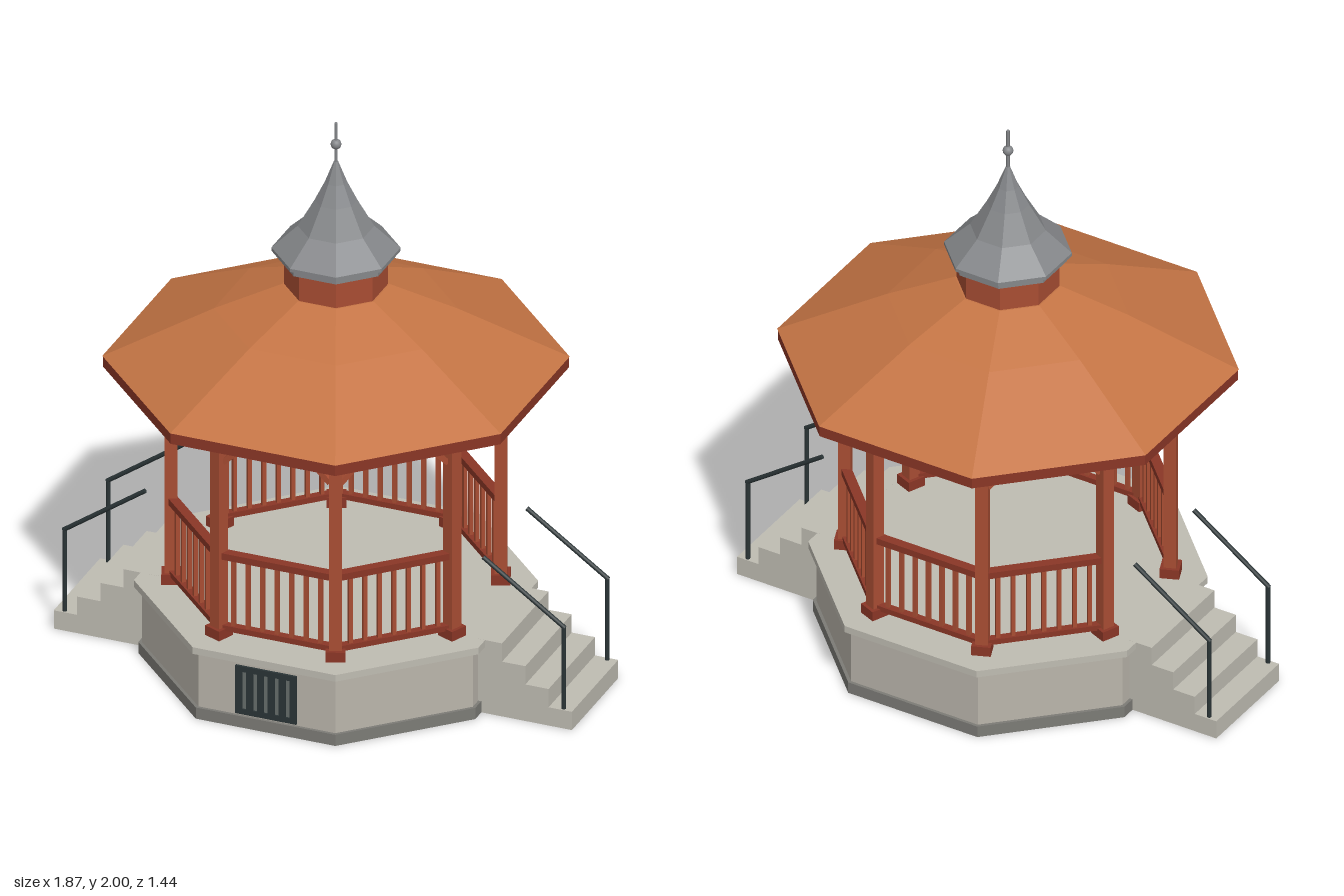
import * as THREE from 'three';

const mat = (name, color) => Object.assign(new THREE.MeshStandardMaterial({ color }), { name });
const M = {
  stone: mat('wall stone', 0xbab5ab),
  step: mat('pale step stone', 0xbfbcb2),
  plinth: mat('dark plinth stone', 0x7c7b76),
  timber: mat('red timber', 0xa84d33),
  darkTimber: mat('dark red timber', 0x8a3626),
  tile: mat('orange roof', 0xc47444),
  zinc: mat('grey spire metal', 0x85878a),
  iron: mat('black iron', 0x2a3436),
  grey: mat('vent grey', 0x666d6b),
  globe: mat('lamp globe', 0xc9b27c),
};

function add(parent, name, geo, material, x = 0, y = 0, z = 0) {
  const m = new THREE.Mesh(geo, material);
  m.name = name;
  m.position.set(x, y, z);
  parent.add(m);
  return m;
}
const box = (w, h, d) => new THREE.BoxGeometry(w, h, d);

// Faceted octagonal solid from [apothem, y] pairs, with flats facing the axes
function octagon(profile) {
  const pts = profile.map(([a, y]) => new THREE.Vector2(a / Math.cos(Math.PI / 8), y));
  const geo = new THREE.LatheGeometry(pts, 8).rotateY(Math.PI / 8).toNonIndexed();
  geo.computeVertexNormals();
  return geo;
}
const prism = (a, y0, y1) => octagon([[0, y0], [a, y0], [a, y1], [0, y1]]);

// Round bar between two points
function bar(parent, name, from, to, r, material) {
  const a = new THREE.Vector3(...from), b = new THREE.Vector3(...to);
  const m = add(parent, name, new THREE.CylinderGeometry(r, r, a.distanceTo(b), 8), material);
  m.position.copy(a).lerp(b, 0.5);
  m.quaternion.setFromUnitVectors(new THREE.Vector3(0, 1, 0), b.sub(a).normalize());
}

// One side of the pavilion: post, beam, braces and optional railing
function bay(withRailing) {
  const g = new THREE.Group(), a = 0.507, half = 0.21;
  g.name = 'bay';
  add(g, 'post', box(0.043, 0.805, 0.043), M.timber, half, 0.6775, a).rotation.y = Math.PI / 8;
  add(g, 'postBase', box(0.066, 0.036, 0.066), M.darkTimber, half, 0.293, a).rotation.y = Math.PI / 8;
  add(g, 'beam', box(0.42, 0.052, 0.035), M.timber, 0, 1.054, a);
  for (const s of [-1, 1])
    add(g, 'brace', box(0.02, 0.135, 0.02), M.timber, s * 0.145, 0.98, a).rotation.z = s * Math.PI / 4;
  if (withRailing) {
    add(g, 'topRail', box(0.41, 0.024, 0.034), M.darkTimber, 0, 0.582, a);
    add(g, 'bottomRail', box(0.41, 0.02, 0.028), M.darkTimber, 0, 0.312, a);
    for (let i = -3; i <= 3; i++)
      add(g, 'baluster', box(0.014, 0.25, 0.014), M.timber, i * 0.0525, 0.446, a);
  }
  return g;
}

// Four steps with iron handrails, descending toward +x
function stairs() {
  const g = new THREE.Group();
  g.name = 'stairs';
  const s = new THREE.Shape();
  s.moveTo(0.56, 0);
  for (let i = 0; i < 4; i++) {
    const x = 0.935 - i * 0.084;
    s.lineTo(x, i * 0.0688);
    s.lineTo(x, (i + 1) * 0.0688);
  }
  s.lineTo(0.56, 0.2752);
  const geo = new THREE.ExtrudeGeometry(s, { depth: 0.4, bevelEnabled: false });
  add(g, 'steps', geo, M.step, 0, 0, -0.2);
  for (const z of [-0.188, 0.188]) {
    bar(g, 'handrailPost', [0.9, 0.065, z], [0.9, 0.378, z], 0.008, M.iron);
    bar(g, 'handrail', [0.905, 0.373, z], [0.61, 0.58, z], 0.008, M.iron);
  }
  return g;
}

export function createModel() {
  const model = new THREE.Group();
  model.name = 'bandstand';

  // Platform
  add(model, 'plinth', prism(0.608, 0, 0.042), M.plinth);
  add(model, 'platformWall', prism(0.597, 0.042, 0.25), M.stone);
  add(model, 'floor', prism(0.622, 0.25, 0.275), M.step);

  // Front vent: pale plate behind iron frame and bars
  const vent = new THREE.Group();
  vent.name = 'vent';
  model.add(vent);
  add(vent, 'ventPlate', box(0.21, 0.17, 0.006), M.grey, 0, 0.14, 0.599);
  for (const y of [0.06, 0.22]) add(vent, 'ventFrame', box(0.22, 0.02, 0.009), M.iron, 0, y, 0.603);
  for (let i = 0; i < 6; i++)
    add(vent, 'ventBar', box(0.024, 0.17, 0.009), M.iron, -0.098 + i * 0.0392, 0.14, 0.603);

  // Stairs on both sides
  for (const r of [0, Math.PI]) {
    const st = stairs();
    st.rotation.y = r;
    model.add(st);
  }

  // Eight bays, open toward the stairs
  for (let k = 0; k < 8; k++) {
    const b = bay(k % 4 !== 2);
    b.rotation.y = k * Math.PI / 4;
    model.add(b);
  }

  // Roof
  add(model, 'eaves', prism(0.717, 1.08, 1.12), M.darkTimber);
  add(model, 'roof', octagon([[0.719, 1.12], [0.376, 1.3], [0.165, 1.393], [0, 1.393]]), M.tile);

  // Cupola and spire
  add(model, 'cupolaDrum', prism(0.16, 1.385, 1.5), M.timber);
  add(model, 'cupolaTrim', prism(0.184, 1.496, 1.52), M.zinc);
  add(model, 'spire', octagon([[0, 1.518], [0.199, 1.518], [0.199, 1.53], [0.118, 1.612],
    [0.066, 1.71], [0.034, 1.78], [0.007, 1.855], [0, 1.855]]), M.zinc);
  bar(model, 'finialRod', [0, 1.84, 0], [0, 2, 0], 0.006, M.zinc);
  add(model, 'finialBall', new THREE.SphereGeometry(0.018, 16, 12), M.zinc, 0, 1.92, 0);

  // Hanging lamp
  bar(model, 'lampRod', [0, 0.94, 0], [0, 1.08, 0], 0.004, M.iron);
  add(model, 'lampShade', new THREE.CylinderGeometry(0.012, 0.048, 0.022, 16), M.iron, 0, 0.938, 0);
  add(model, 'lampGlobe', new THREE.SphereGeometry(0.038, 20, 14), M.globe, 0, 0.888, 0);
  return model;
}
